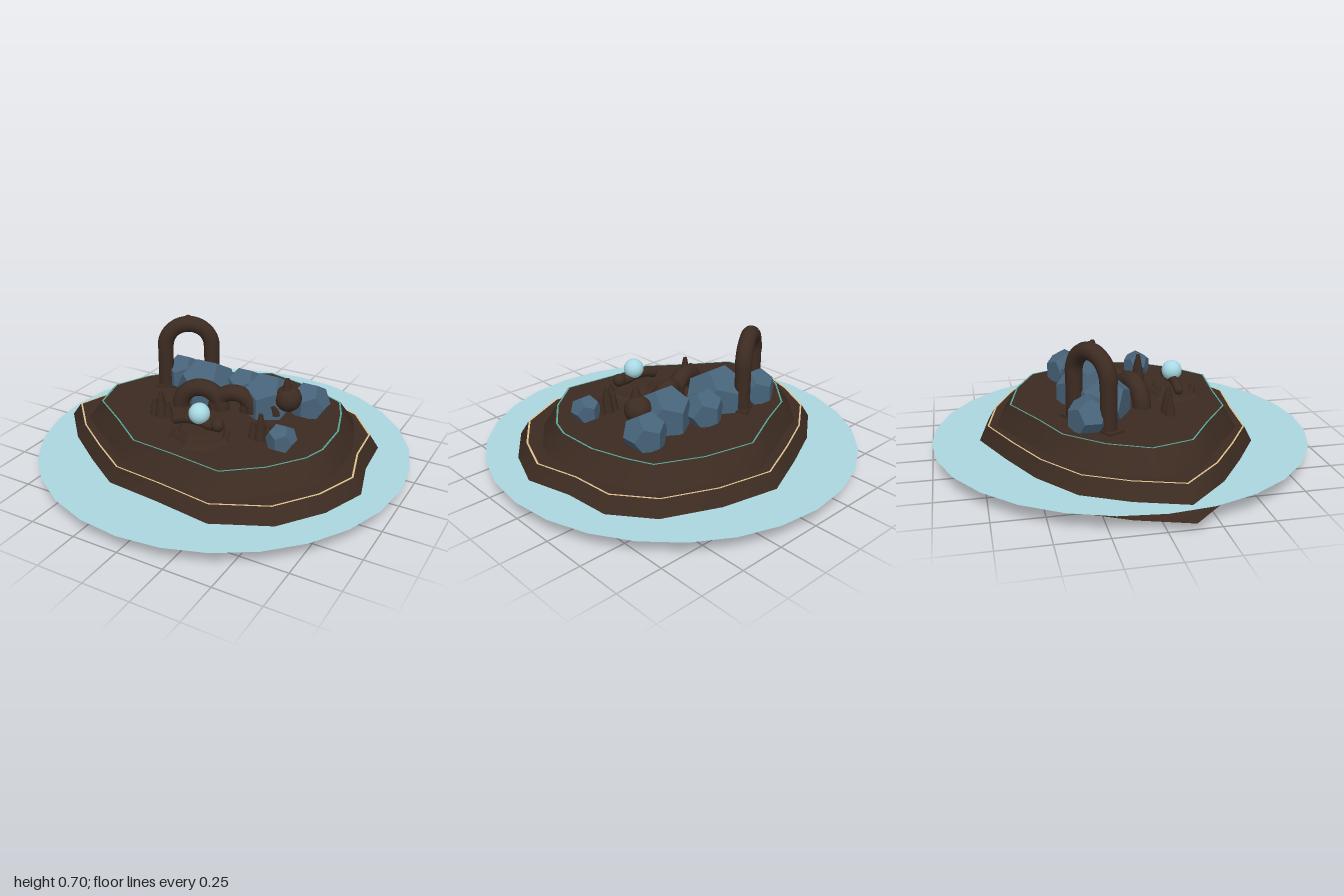
import * as THREE from 'three';

const mat = (name, color, extra = {}) => {
  const m = new THREE.MeshStandardMaterial({ color, ...extra });
  m.name = name;
  return m;
};

// Outlines [x, z], from the front point round by the left (+x)
const LOWER = [[0, .632], [.293, .672], [.56, .545], [.71, .34], [.793, .12], [.73, -.11], [.71, -.34], [.56, -.53], [.29, -.65],
  [0, -.71], [-.26, -.6], [-.49, -.49], [-.7, -.33], [-.81, -.12], [-.888, .12], [-.7, .32], [-.49, .47], [-.28, .605]];
const UPPER = [[0, .52], [.28, .555], [.46, .41], [.59, .235], [.627, .12], [.62, -.1], [.56, -.29], [.5, -.42], [.27, -.53],
  [0, -.59], [-.26, -.465], [-.465, -.38], [-.625, -.2], [-.718, 0], [-.66, .21], [-.45, .35], [-.245, .5]];

// Frustum whose ring follows an irregular outline
function tierGeometry(outline, y0, y1, bottomScale, topScale) {
  const n = outline.length;
  const g = new THREE.CylinderGeometry(1, 1, y1 - y0, n, 1);
  const p = g.attributes.position;
  for (let k = 0; k < p.count; k++) {
    const x = p.getX(k), z = p.getZ(k), s = p.getY(k) < 0 ? bottomScale : topScale;
    if (Math.hypot(x, z) < .5) continue;
    const i = (Math.round(Math.atan2(x, z) / (2 * Math.PI) * n) + n) % n;
    p.setX(k, outline[i][0] * s);
    p.setZ(k, outline[i][1] * s);
  }
  g.computeVertexNormals();
  return g.translate(0, (y0 + y1) / 2, 0);
}

const scaled = (outline, s, flip) => outline.map(([x, z]) => new THREE.Vector2(x * s, flip * z * s));

// Flat band lying on the edge of a tier
function bandGeometry(outline, inner) {
  const shape = new THREE.Shape(scaled(outline, 1, -1));
  shape.holes.push(new THREE.Path(scaled(outline, inner, -1)));
  return new THREE.ShapeGeometry(shape).rotateX(-Math.PI / 2);
}

export function createModel() {
  const root = new THREE.Group();
  root.name = 'island';
  const earth = mat('dark earth', 0x3c2b21);
  const rock = mat('slate rock', 0x476379, { flatShading: true });
  const water = mat('pale water', 0xabd7e0, { side: THREE.DoubleSide });
  const sand = mat('sand', 0xdcc08c);
  const moss = mat('teal edge', 0x55a596);
  const glow = mat('pale orb', 0xa8dae4);

  const add = (name, geo, m, x = 0, y = 0, z = 0, parent = root) => {
    const mesh = new THREE.Mesh(geo, m);
    mesh.name = name;
    mesh.position.set(x, y, z);
    parent.add(mesh);
    return mesh;
  };

  // Water and island tiers
  add('water', new THREE.CircleGeometry(1, 28).rotateX(-Math.PI / 2), water, 0, .09, 0);
  add('lowerTier', tierGeometry(LOWER, .023, .165, 1.115, 1), earth);
  add('upperTier', tierGeometry(UPPER, .165, .275, 1.12, 1), earth);
  add('sandBase', tierGeometry(LOWER, .018, .023, 1.105, 1.105), sand);
  add('underside', new THREE.ShapeGeometry(new THREE.Shape(scaled(LOWER, 1.118, 1))).rotateX(Math.PI / 2), earth);
  add('sandBand', bandGeometry(LOWER, .987), sand, 0, .167, 0);
  add('tealBand', bandGeometry(UPPER, .985), moss, 0, .277, 0);

  // Rocks: x, y, z, radius
  [[0, .33, -.235, .115], [-.19, .32, -.145, .171], [.19, .335, -.145, .155],
    [.39, .33, -.235, .114], [-.4, .33, -.235, .114], [.43, .32, .19, .08]].forEach(([x, y, z, r]) => {
    add('rock', new THREE.DodecahedronGeometry(r), rock, x, y, z);
  });

  // Arch with two straight legs and flat feet
  const arch = new THREE.Group();
  arch.name = 'arch';
  arch.position.set(-.355, 0, -.22);
  arch.rotation.y = Math.atan2(.14, .24);
  root.add(arch);
  add('archCurve', new THREE.TorusGeometry(.13, .045, 12, 24, Math.PI), earth, 0, .515, 0, arch);
  for (const s of [-1, 1]) {
    add('archLeg', new THREE.CylinderGeometry(.043, .043, .24, 12), earth, s * .13, .395, 0, arch);
    add('archFoot', new THREE.BoxGeometry(.12, .012, .09), earth, s * .13, .281, 0, arch);
  }
  add('archKnob', new THREE.SphereGeometry(.025, 10, 8), earth, 0, .672, 0, arch);

  // Body of three shrinking humps along a slanted line: x, hump radius, tube radius
  [[-.125, .112, .047], [.05, .1, .044], [.19, .08, .036]].forEach(([x, r, t]) => {
    const hump = add('bodyHump', new THREE.TorusGeometry(r, t, 12, 24, Math.PI), earth, x, .297, .065 - .292 * (x + .235));
    hump.rotation.y = Math.atan(.292);
  });
  add('head', new THREE.SphereGeometry(.072, 16, 12), earth, .325, .392, -.107);
  add('horn', new THREE.CylinderGeometry(.012, .03, .06, 8), earth, .325, .48, -.09);

  // Stepped octagonal plinth: bottom radius, top radius, bottom, top
  [[.168, .15, .275, .29], [.14, .13, .29, .308], [.115, .1, .308, .33]].forEach(([r0, r1, y0, y1]) => {
    const g = new THREE.CylinderGeometry(r1, r0, y1 - y0, 8).toNonIndexed();
    g.computeVertexNormals();
    add('plinthStep', g, earth, .02, (y0 + y1) / 2, .29);
  });

  // Small curled figure carrying the orb
  const spine = [[-.12, .335], [-.06, .355], [.02, .36], [.08, .35], [.125, .355]].map(([x, y]) => new THREE.Vector3(x, y, .29));
  add('figureBody', new THREE.TubeGeometry(new THREE.CatmullRomCurve3(spine), 40, .025, 12), earth);
  add('figureHead', new THREE.SphereGeometry(.035, 12, 10), earth, .125, .362, .29);
  add('figureTail', new THREE.SphereGeometry(.025, 10, 8), earth, -.12, .335, .29);
  add('orb', new THREE.SphereGeometry(.055, 16, 12), glow, .02, .402, .29);

  // Clusters of tapered vents: offset, height, bottom radius
  for (const [x, z] of [[-.277, .19], [.305, .17]]) {
    [[-.042, .09, .028], [0, .14, .036], [.042, .09, .028]].forEach(([dx, h, r]) => {
      add('vent', new THREE.CylinderGeometry(.011, r, h, 8), earth, x + dx, .275 + h / 2, z);
    });
  }
  return root;
}
